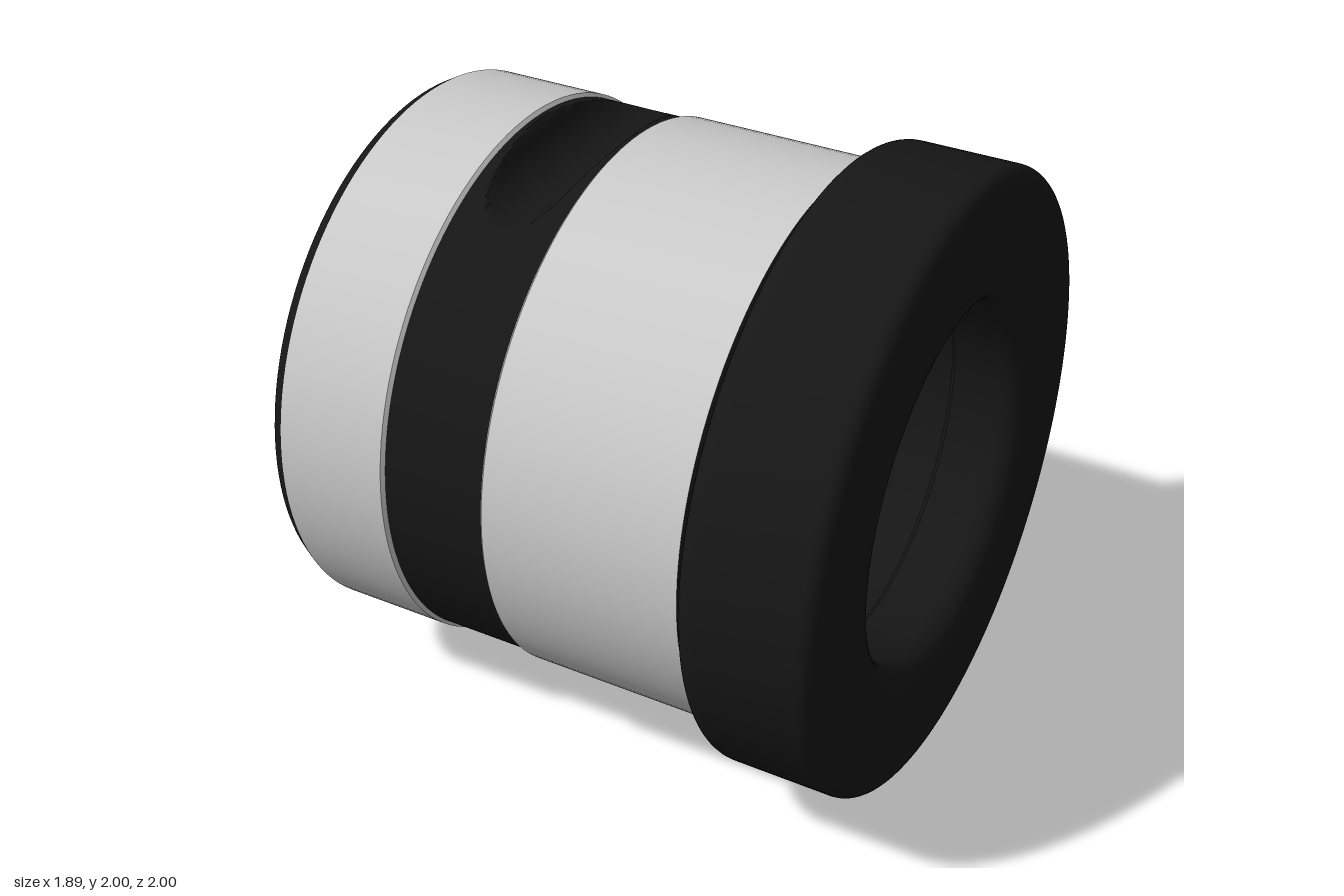
import * as THREE from 'three';
import { toCreasedNormals } from 'three/addons/utils/BufferGeometryUtils.js';

const steel = new THREE.MeshStandardMaterial({ color: 0xcccccc });
const dark = new THREE.MeshStandardMaterial({ color: 0x161616 });

// Quarter-round points [x, radius] about a centre, angles in degrees from the +x axis
function arc(cx, cr, rad, from, to, n = 8) {
  return Array.from({ length: n + 1 }, (_, i) => {
    const a = THREE.MathUtils.degToRad(from + ((to - from) * i) / n);
    return [cx + rad * Math.cos(a), cr + rad * Math.sin(a)];
  });
}

// Spin a profile of [x, radius] points around the x axis
function turned(name, profile, material, segments = 128, reshape) {
  const points = profile.map(([x, r]) => new THREE.Vector2(r, x));
  const geometry = new THREE.LatheGeometry(points, segments).rotateZ(-Math.PI / 2);
  if (reshape) reshape(geometry.attributes.position);
  const mesh = new THREE.Mesh(toCreasedNormals(geometry, 0.45), material);
  mesh.name = name;
  return mesh;
}

// Height of the cross-milled notch above the axis
function notchHeight(x) {
  const u = Math.abs(x + 0.355);
  if (u < 0.125) return 0.915 - Math.sqrt(0.14 ** 2 - u ** 2);
  const t = Math.min((u - 0.125) / 0.04, 1);
  return 0.852 + 0.053 * Math.sin((t * Math.PI) / 2);
}

export function createModel() {
  const group = new THREE.Group();
  group.name = 'flangedBushing';
  const body = new THREE.Group();
  body.name = 'body';
  body.position.y = 1;
  group.add(body);

  // Plain end face with chamfer
  body.add(turned('endFace', [[-0.945, 0.64], [-0.945, 0.89], [-0.905, 0.912]], dark));

  // Ground outer bands
  body.add(turned('narrowBand', [[-0.905, 0.912], [-0.535, 0.912], [-0.525, 0.9]], steel));
  body.add(turned('wideBand', [[-0.185, 0.9], [-0.175, 0.912], [0.48, 0.912]], steel));

  // Shallow groove, cut across the top by a round notch
  const groove = Array.from({ length: 45 }, (_, i) => [-0.525 + (0.34 * i) / 44, 0.9]);
  body.add(turned('notchedGroove', groove, dark, 256, (p) => {
    for (let i = 0; i < p.count; i++) {
      p.setY(i, Math.min(p.getY(i), notchHeight(p.getX(i))));
    }
  }));

  // Collar with undercut and rounded rims
  body.add(turned('collar', [
    [0.48, 0.912], [0.488, 0.9], [0.505, 0.9], [0.505, 0.93],
    ...arc(0.575, 0.93, 0.07, 180, 90),
    ...arc(0.895, 0.95, 0.05, 90, 0),
    [0.945, 0.66],
  ], dark));

  // Bore with flared mouths and a shallow recess near each end
  const recess = (a, b) => [[a, 0.575], [a - 0.015, 0.592], [b + 0.015, 0.592], [b, 0.575]];
  body.add(turned('bore', [
    ...arc(0.86, 0.66, 0.085, 0, -90),
    ...recess(0.7, 0.43),
    ...recess(-0.43, -0.7),
    ...arc(-0.88, 0.64, 0.065, -90, -180),
  ], dark));

  return group;
}
